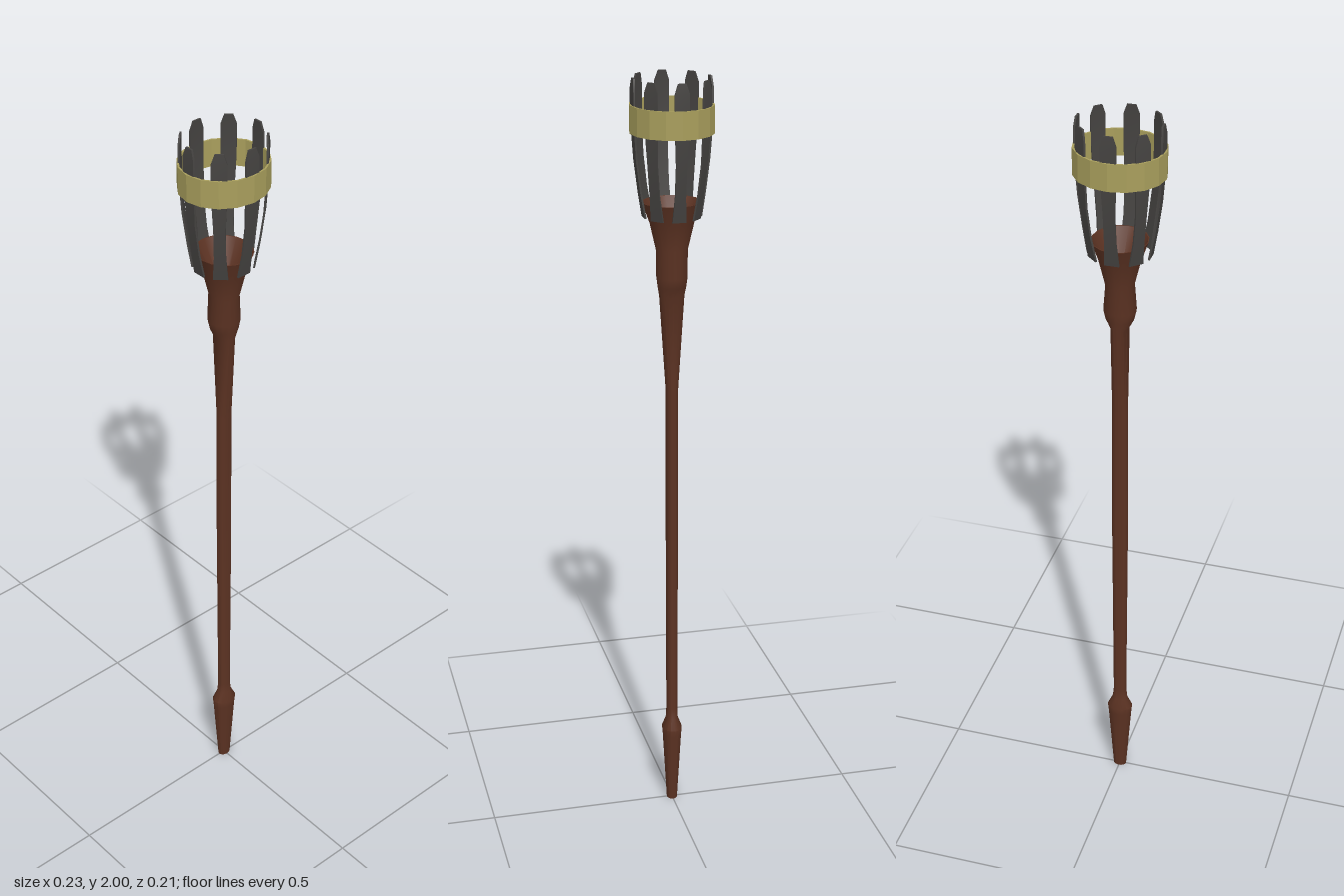
import * as THREE from 'three';
import { toCreasedNormals } from 'three/addons/utils/BufferGeometryUtils.js';

const material = (name, color) => {
  const m = new THREE.MeshStandardMaterial({ color });
  m.name = name;
  return m;
};

function addMesh(parent, name, geometry, mat, crease) {
  const mesh = new THREE.Mesh(toCreasedNormals(geometry, crease), mat);
  mesh.name = name;
  parent.add(mesh);
  return mesh;
}

// Turned shape with elliptical rings [y, rx, rz], outside listed from top to bottom
function ellipticalLoft(rings, sides) {
  const g = new THREE.CylinderGeometry(1, 1, 1, sides, rings.length - 1, true);
  const p = g.attributes.position;
  for (let i = 0; i < p.count; i++) {
    const [y, rx, rz] = rings[Math.floor(i / (sides + 1))];
    p.setXYZ(i, p.getX(i) * rx, y, p.getZ(i) * rz);
  }
  return g;
}

// Thin bar bent along rows [y, distance from axis, half width], top to bottom
function slatGeometry(rows) {
  const last = rows.length - 1;
  const g = new THREE.BoxGeometry(2, 1, 0.005, 1, last, 1);
  const p = g.attributes.position;
  for (let i = 0; i < p.count; i++) {
    const [y, r, w] = rows[Math.round((0.5 - p.getY(i)) * last)];
    p.setXYZ(i, p.getX(i) * w, y, r + p.getZ(i));
  }
  return g;
}

export function createModel() {
  const wood = material('dark wood', 0x5b3222);
  const iron = material('dark iron', 0x454341);
  const brass = material('aged brass', 0xa89e5c);
  const torch = new THREE.Group();
  torch.name = 'torch';

  // Wooden handle: hollow cup, collar, long shaft and tapered foot
  const handle = [
    [1.6, 0, 0], [1.6, 0.02, 0.02],
    [1.692, 0.069, 0.073], [1.692, 0.071, 0.076],
    [1.64, 0.053, 0.057], [1.57, 0.036, 0.041],
    [1.5, 0.042, 0.04], [1.475, 0.036, 0.037], [1.45, 0.023, 0.033],
    [1.23, 0.021, 0.018], [1.2, 0.021, 0.016],
    [0.86, 0.022, 0.016], [0.28, 0.018, 0.015], [0.25, 0.021, 0.016],
    [0.22, 0.035, 0.027], [0.2, 0.033, 0.025],
    [0, 0.018, 0.014], [0, 0, 0],
  ];
  addMesh(torch, 'handle', ellipticalLoft(handle, 16), wood, 0.6);

  // Cage, slightly narrower front to back
  const cage = new THREE.Group();
  cage.name = 'cage';
  cage.scale.z = 0.92;
  torch.add(cage);

  const slat = slatGeometry([
    [2.0, 0.105, 0.011], [1.975, 0.107, 0.02], [1.9, 0.107, 0.02],
    [1.8, 0.1, 0.015], [1.72, 0.089, 0.015], [1.655, 0.077, 0.019],
  ]);
  for (let i = 0; i < 8; i++) {
    addMesh(cage, 'slat' + (i + 1), slat, iron, 0.5).rotation.y = (i * Math.PI) / 4;
  }

  // Band around the slats
  const band = [[0.11, 1.865], [0.115, 1.865], [0.115, 1.935], [0.11, 1.935], [0.11, 1.865]];
  addMesh(cage, 'band',
    new THREE.LatheGeometry(band.map(([r, y]) => new THREE.Vector2(r, y)), 16), brass, 0.3);

  return torch;
}
